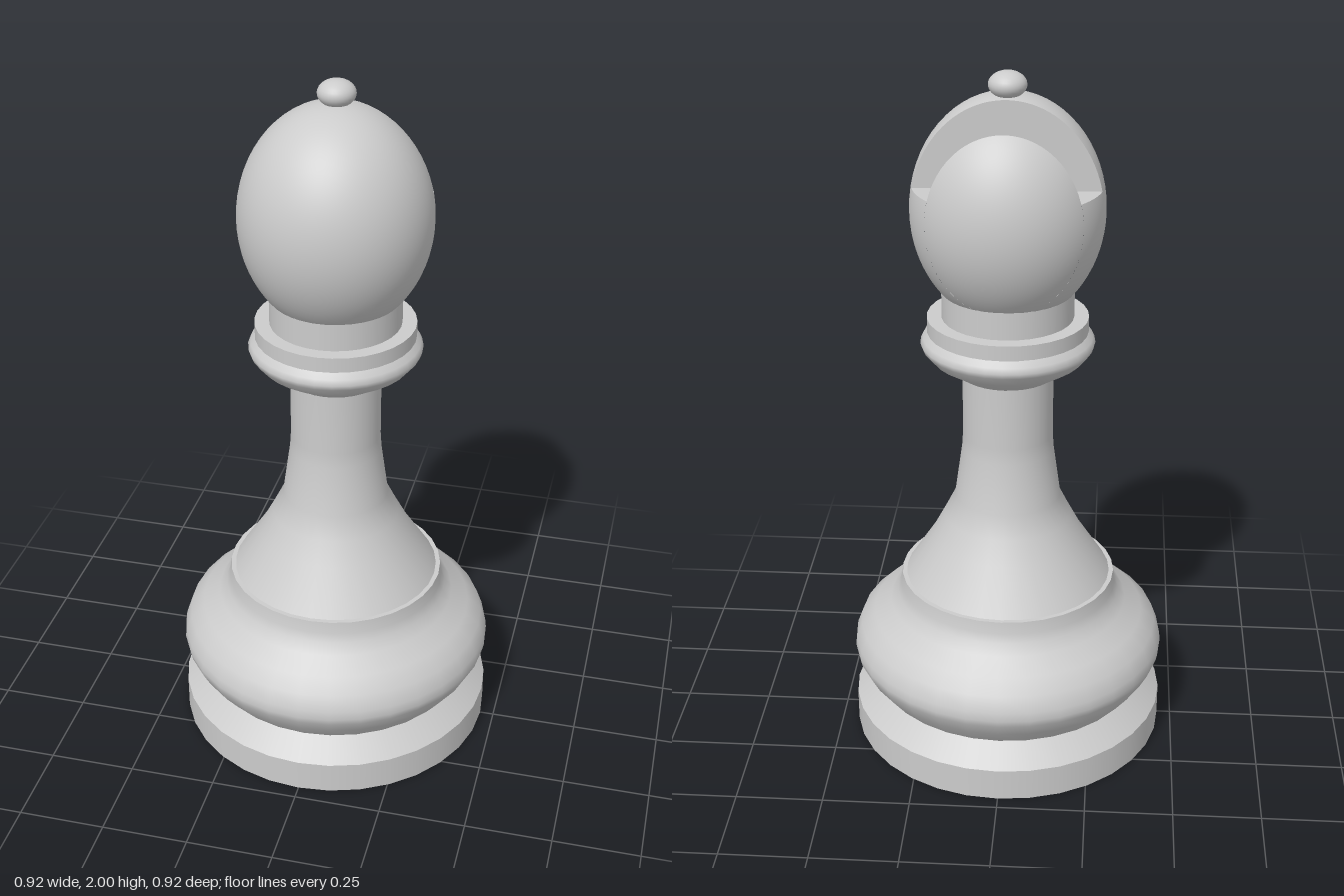
import * as THREE from 'three';
import { mergeGeometries } from 'three/addons/utils/BufferGeometryUtils.js';
import { ParametricGeometry } from 'three/addons/geometries/ParametricGeometry.js';

const SIDES = 32;
const material = new THREE.MeshStandardMaterial({ color: 0xcccccc });

// Head ellipsoid and its slot
const HEAD = { y: 1.62, r: 0.267, ry: 0.32 };
const SLOT = { back: -0.165, front: -0.055, floor: 1.69 };

// Turned part: each run of [radius, y] points is smooth, with a sharp edge between runs
function turned(name, ...runs) {
  const parts = runs.map((run) =>
    new THREE.LatheGeometry(run.map(([r, y]) => new THREE.Vector2(r, y)), SIDES));
  return named(name, mergeGeometries(parts));
}

function named(name, geometry) {
  const mesh = new THREE.Mesh(geometry, material);
  mesh.name = name;
  return mesh;
}

// Angle at which the head's section at z meets the given height
function cutAngle(z, height) {
  const section = Math.sqrt(Math.max(0, 1 - (z / HEAD.r) ** 2));
  return Math.asin(Math.min(1, (height - HEAD.y) / HEAD.ry / Math.max(section, 1e-6)));
}

// Skin of the head between two z planes, cut off above the given height
function headSkin(z0, z1, height) {
  const t0 = Math.acos(z0 / HEAD.r), t1 = Math.acos(z1 / HEAD.r);
  const geometry = new ParametricGeometry((u, v, p) => {
    const t = THREE.MathUtils.lerp(t0, t1, v);
    const z = HEAD.r * Math.cos(t);
    const a = cutAngle(z, height);
    const angle = THREE.MathUtils.lerp(-Math.PI - a, a, u);
    p.set(HEAD.r * Math.sin(t) * Math.cos(angle), HEAD.y + HEAD.ry * Math.sin(t) * Math.sin(angle), z);
  }, 64, 20);
  const pos = geometry.attributes.position, n = new THREE.Vector3();
  for (let i = 0; i < pos.count; i++) {
    n.set(pos.getX(i) / HEAD.r ** 2, (pos.getY(i) - HEAD.y) / HEAD.ry ** 2, pos.getZ(i) / HEAD.r ** 2).normalize();
    geometry.attributes.normal.setXYZ(i, n.x, n.y, n.z);
  }
  return geometry;
}

// Upright wall of the slot
function slotWall(z, facesBack) {
  const k = Math.sqrt(1 - (z / HEAD.r) ** 2), a = cutAngle(z, SLOT.floor);
  const shape = new THREE.Shape();
  shape.absellipse(0, HEAD.y, HEAD.r * k, HEAD.ry * k, a, Math.PI - a);
  const geometry = new THREE.ShapeGeometry(shape, 40);
  if (facesBack) geometry.rotateY(Math.PI);
  return geometry.translate(0, 0, z);
}

// Level floor of the slot, with curved ends
function slotFloor() {
  const r = HEAD.r * Math.sqrt(1 - ((SLOT.floor - HEAD.y) / HEAD.ry) ** 2);
  const a = Math.asin(-SLOT.front / r), b = Math.asin(-SLOT.back / r);
  const shape = new THREE.Shape();
  shape.absarc(0, 0, r, a, b);
  shape.absarc(0, 0, r, Math.PI - b, Math.PI - a);
  return new THREE.ShapeGeometry(shape, 20).rotateX(-Math.PI / 2).translate(0, SLOT.floor, 0);
}

export function createModel() {
  const model = new THREE.Group();
  model.name = 'bishop';

  // Foot
  model.add(turned('foot',
    [[0, 0], [0.46, 0]],
    [[0.46, 0], [0.46, 0.095]],
    [[0.46, 0.095], [0.396, 0.155]]));

  // Bulging base with a narrow ledge
  model.add(turned('base',
    [[0.396, 0.155], [0.435, 0.205], [0.456, 0.245], [0.46, 0.265], [0.457, 0.29], [0.44, 0.335],
      [0.4, 0.372], [0.35, 0.41], [0.328, 0.44], [0.318, 0.465], [0.313, 0.5]],
    [[0.313, 0.5], [0.29, 0.5]]));

  // Stem
  model.add(turned('stem',
    [[0.3, 0.5], [0.222, 0.62], [0.185, 0.69], [0.153, 0.755], [0.132, 0.905], [0.129, 0.95], [0.129, 1.145]]));

  // Collar and neck
  model.add(turned('collar',
    [[0.12, 1.14], [0.138, 1.14]],
    [[0.138, 1.14], [0.16, 1.155], [0.215, 1.19], [0.24, 1.22], [0.245, 1.235], [0.238, 1.25], [0.222, 1.267]],
    [[0.226, 1.267], [0.226, 1.31]],
    [[0.226, 1.31], [0.18, 1.31]]));
  model.add(turned('neck',
    [[0.185, 1.31], [0.185, 1.39]],
    [[0.185, 1.39], [0.15, 1.39]]));

  // Slotted head
  const head = new THREE.Group();
  head.name = 'head';
  head.add(named('headSkin', mergeGeometries([
    headSkin(-HEAD.r, SLOT.back, 9),
    headSkin(SLOT.back, SLOT.front, SLOT.floor),
    headSkin(SLOT.front, HEAD.r, 9),
  ])));
  head.add(named('slot', mergeGeometries([
    slotWall(SLOT.front, true), slotWall(SLOT.back, false), slotFloor(),
  ])));
  model.add(head);

  // Small flattened ball on top
  const finial = named('finial', new THREE.SphereGeometry(0.052, SIDES, 16));
  finial.scale.y = 0.7;
  finial.position.set(0, 1.9636, -0.01);
  model.add(finial);

  return model;
}
